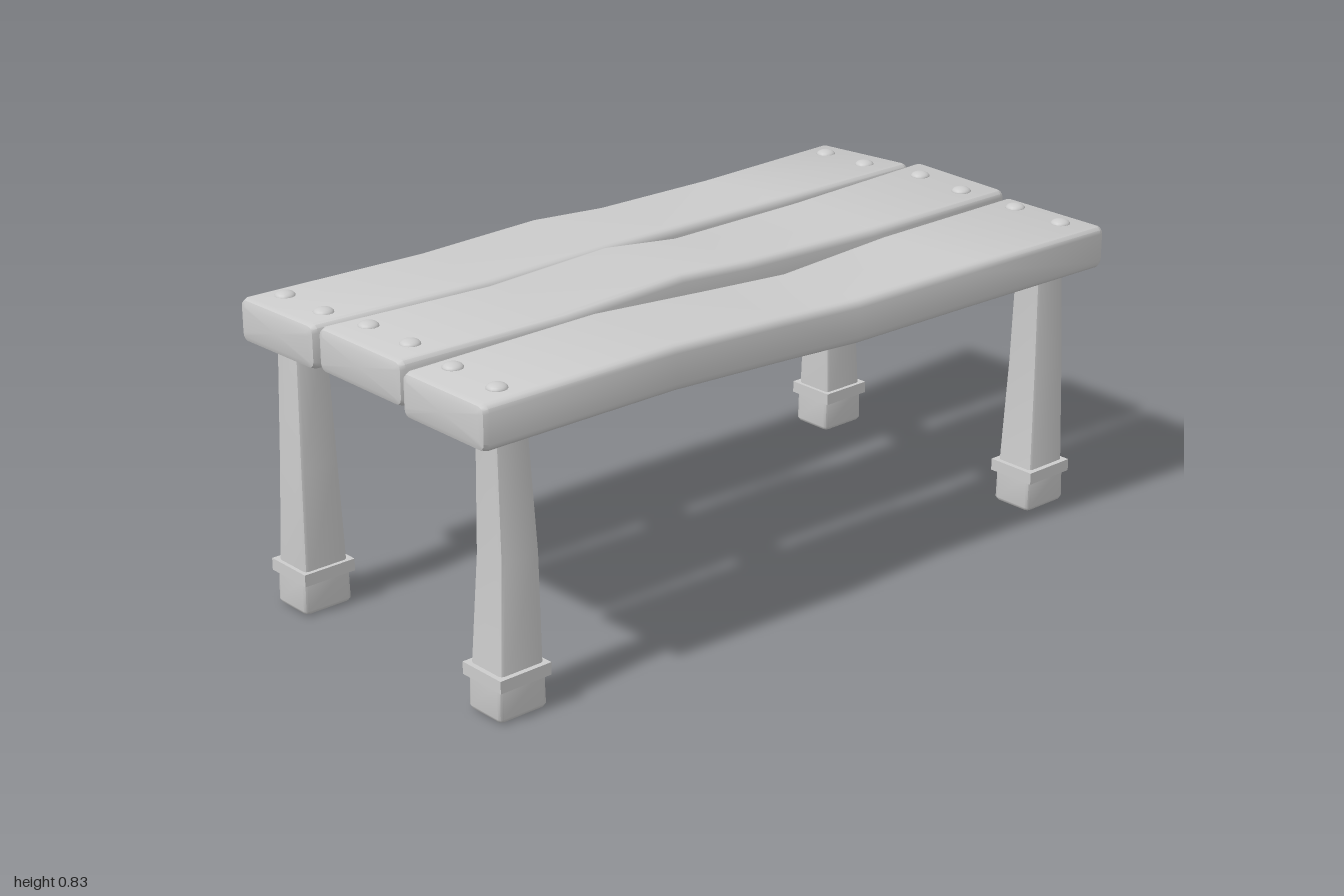
import * as THREE from 'three';
import { toCreasedNormals } from 'three/addons/utils/BufferGeometryUtils.js';

const material = new THREE.MeshStandardMaterial({ color: 0xcccccc });

// Rounded rectangle, counter-clockwise, as [u, v] pairs
function roundedRect(hu, hv, r, steps = 3) {
  const pts = [];
  [[1, 1], [-1, 1], [-1, -1], [1, -1]].forEach(([su, sv], q) => {
    for (let i = 0; i <= steps; i++) {
      const a = (q + i / steps) * Math.PI / 2;
      pts.push([su * (hu - r) + r * Math.cos(a), sv * (hv - r) + r * Math.sin(a)]);
    }
  });
  return pts;
}

// Skin a list of rings (arrays of Vector3) and close both ends
function loft(rings) {
  const n = rings[0].length, pos = [];
  const tri = (...vs) => vs.forEach((v) => pos.push(v.x, v.y, v.z));
  for (let i = 0; i < rings.length - 1; i++) {
    for (let j = 0; j < n; j++) {
      const k = (j + 1) % n;
      const a = rings[i][j], b = rings[i][k], c = rings[i + 1][k], d = rings[i + 1][j];
      tri(a, b, c);
      tri(a, c, d);
    }
  }
  const mid = (ring) => ring.reduce((s, v) => s.add(v), new THREE.Vector3()).divideScalar(n);
  const first = rings[0], last = rings[rings.length - 1];
  const m0 = mid(first), m1 = mid(last);
  for (let j = 0; j < n; j++) {
    const k = (j + 1) % n;
    tri(m0, first[k], first[j]);
    tri(m1, last[j], last[k]);
  }
  const geo = new THREE.BufferGeometry();
  geo.setAttribute('position', new THREE.Float32BufferAttribute(pos, 3));
  return toCreasedNormals(geo, 0.65);
}

function addMesh(parent, name, geo, x = 0, y = 0, z = 0) {
  const mesh = new THREE.Mesh(geo, material);
  mesh.name = name;
  mesh.position.set(x, y, z);
  parent.add(mesh);
  return mesh;
}

// Plank section: [x, back z, front z, top y, tilt]
const THICK = 0.114, BEVEL = 0.018;
function plankRing([x, zb, zf, top, tilt], inset = 0) {
  const zc = (zb + zf) / 2;
  return roundedRect(THICK / 2 - inset, (zf - zb) / 2 - inset, 0.02 - inset * 0.5)
    .map(([u, v]) => new THREE.Vector3(x, top - THICK / 2 + u + tilt * v, zc + v));
}

function plankGeometry(stations) {
  const first = stations[0], last = stations[stations.length - 1];
  const shift = (s, dx) => [s[0] + dx, ...s.slice(1)];
  return loft([
    plankRing(first, BEVEL), plankRing(shift(first, 0.005), BEVEL * 0.3), plankRing(shift(first, BEVEL)),
    ...stations.slice(1, -1).map((s) => plankRing(s)),
    plankRing(shift(last, -BEVEL)), plankRing(shift(last, -0.005), BEVEL * 0.3), plankRing(last, BEVEL),
  ]);
}

// Upright section: [y, centre x, centre z, half x, half z]
const uprightRing = ([y, x, z, hx, hz]) => roundedRect(hz, hx, 0.01, 2)
  .map(([u, v]) => new THREE.Vector3(x + v, y, z + u));

const planks = [
  { name: 'backPlank',
    stations: [[-0.99, -0.52, -0.22, 0.812, 0.02], [-0.45, -0.515, -0.21, 0.802, 0.01], [-0.1, -0.5, -0.195, 0.815, 0],
      [0.12, -0.49, -0.205, 0.805, 0.02], [0.5, -0.5, -0.205, 0.8, 0.04], [0.98, -0.52, -0.19, 0.803, 0.055]],
    rivets: [[-0.9, -0.455], [-0.905, -0.29], [0.9, -0.435], [0.89, -0.275]] },
  { name: 'middlePlank',
    stations: [[-0.99, -0.2, 0.12, 0.822, 0], [-0.5, -0.178, 0.12, 0.815, 0], [-0.14, -0.175, 0.13, 0.832, 0.01],
      [0.07, -0.145, 0.138, 0.818, 0.02], [0.5, -0.16, 0.145, 0.81, 0], [0.98, -0.155, 0.162, 0.822, -0.02]],
    rivets: [[-0.895, -0.125], [-0.895, 0.035], [0.895, -0.07], [0.885, 0.09]] },
  { name: 'frontPlank',
    stations: [[-1, 0.135, 0.433, 0.81, 0], [-0.45, 0.15, 0.455, 0.82, 0], [-0.1, 0.16, 0.445, 0.797, 0],
      [0.14, 0.18, 0.457, 0.788, 0], [0.5, 0.17, 0.487, 0.8, 0], [0.975, 0.178, 0.512, 0.806, 0]],
    rivets: [[-0.9, 0.2], [-0.905, 0.365], [0.915, 0.255], [0.905, 0.42]] },
];

// Legs: foot centre, middle bend and top, each as x, z
const legs = [
  { name: 'frontLeftLeg', foot: [0.917, 0.344], bend: [0.937, 0.33], top: [0.917, 0.344] },
  { name: 'backLeftLeg', foot: [0.917, -0.422], bend: [0.9, -0.41], top: [0.915, -0.42] },
  { name: 'frontRightLeg', foot: [-0.88, 0.344], bend: [-0.865, 0.337], top: [-0.883, 0.348] },
  { name: 'backRightLeg', foot: [-0.88, -0.422], bend: [-0.893, -0.402], top: [-0.883, -0.418] },
];

export function createModel() {
  const bench = new THREE.Group();
  bench.name = 'bench';

  // Wavy planks with domed rivets at both ends
  const rivetGeo = new THREE.SphereGeometry(0.026, 16, 6, 0, Math.PI * 2, 0, Math.PI / 2);
  rivetGeo.scale(1, 0.5, 1);
  for (const { name, stations, rivets } of planks) {
    const plank = new THREE.Group();
    plank.name = name;
    bench.add(plank);
    addMesh(plank, name + 'Board', plankGeometry(stations));
    for (const [x, z] of rivets) {
      const [end, next] = x < 0 ? stations : [...stations].reverse();
      const t = (x - end[0]) / (next[0] - end[0]);
      const [, zb, zf, top, tilt] = end.map((e, i) => e + (next[i] - e) * t);
      addMesh(plank, 'rivet', rivetGeo, x, top + tilt * (z - (zb + zf) / 2) - 0.001, z);
    }
  }

  // Hidden battens that show in the gaps between planks
  const battenGeo = new THREE.BoxGeometry(0.105, 0.045, 0.46);
  addMesh(bench, 'batten', battenGeo, -0.495, 0.742, -0.025).rotation.y = 0.08;
  addMesh(bench, 'batten', battenGeo, 0.397, 0.742, -0.025);

  // Bent legs, each with a collar and a square foot
  for (const { name, foot, bend, top } of legs) {
    const leg = new THREE.Group();
    leg.name = name;
    bench.add(leg);
    addMesh(leg, 'post', loft([
      [0.09, ...foot, 0.064, 0.058], [0.39, ...bend, 0.056, 0.048], [0.74, ...top, 0.046, 0.04],
    ].map(uprightRing)));
    addMesh(leg, 'foot', loft([
      [0, ...foot, 0.058, 0.048], [0.004, ...foot, 0.066, 0.056],
      [0.012, ...foot, 0.07, 0.06], [0.1, ...foot, 0.068, 0.059],
    ].map(uprightRing)));
    addMesh(leg, 'collar', new THREE.BoxGeometry(0.15, 0.032, 0.14), foot[0], 0.103, foot[1]);
  }
  return bench;
}
